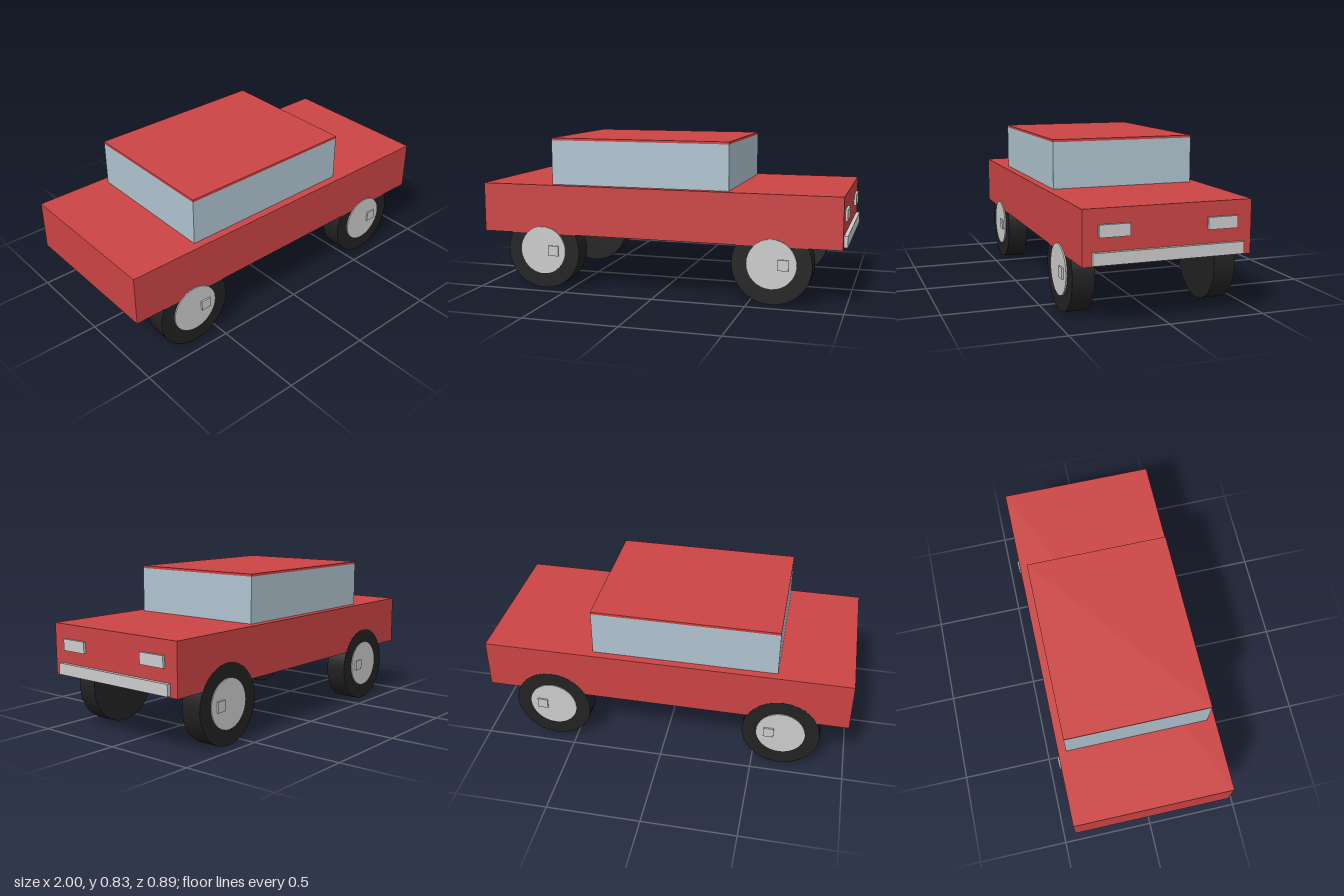
import * as THREE from 'three';

const mat = (name, color) => {
  const m = new THREE.MeshStandardMaterial({ color });
  m.name = name;
  return m;
};

export function createModel() {
  const car = new THREE.Group();
  car.name = 'car';
  const red = mat('red paint', 0xcc4444);
  const glass = mat('pale blue glass', 0xb0c4d0);
  const silver = mat('silver', 0xcccccc);
  const rubber = mat('black rubber', 0x222222);

  // Box given by its lower and upper corners
  const box = (name, material, [x0, y0, z0], [x1, y1, z1], parent = car) => {
    const mesh = new THREE.Mesh(new THREE.BoxGeometry(x1 - x0, y1 - y0, z1 - z0), material);
    mesh.position.set((x0 + x1) / 2, (y0 + y1) / 2, (z0 + z1) / 2);
    mesh.name = name;
    parent.add(mesh);
  };
  // Disc with its axle along z, between depths z0 and z1
  const disc = (name, material, radius, z0, z1, parent) => {
    const geo = new THREE.CylinderGeometry(radius, radius, z1 - z0, 32).rotateX(Math.PI / 2);
    const mesh = new THREE.Mesh(geo, material);
    mesh.position.z = (z0 + z1) / 2;
    mesh.name = name;
    parent.add(mesh);
  };

  // Body, cabin and roof
  box('body', red, [-1, 0.305, -0.43], [0.98, 0.575, 0.43]);
  box('cabinWindows', glass, [-0.605, 0.575, -0.387], [0.387, 0.817, 0.387]);
  box('roof', red, [-0.605, 0.817, -0.387], [0.387, 0.83, 0.387]);

  // Nose fittings
  box('bumper', silver, [0.98, 0.312, -0.385], [1, 0.372, 0.385]);
  box('leftHeadlight', silver, [0.98, 0.44, -0.352], [0.993, 0.5, -0.198]);
  box('rightHeadlight', silver, [0.98, 0.44, 0.198], [0.993, 0.5, 0.352]);

  // Wheels: tyre, hub plate and a small off-centre cap
  for (const [axle, x, capX] of [['rear', -0.647, 0.064], ['front', 0.622, 0.062]]) {
    for (const side of [1, -1]) {
      const wheel = new THREE.Group();
      wheel.name = axle + (side > 0 ? 'RightWheel' : 'LeftWheel');
      wheel.position.set(x, 0.21, 0);
      const span = (inner, outer) => (side > 0 ? [inner, outer] : [-outer, -inner]);
      disc('tyre', rubber, 0.21, ...span(0.316, side > 0 ? 0.429 : 0.431), wheel);
      disc('hub', silver, 0.131, ...span(0.4, 0.436), wheel);
      const [c0, c1] = span(0.43, 0.445);
      box('hubCap', silver, [capX - 0.028, -0.025, c0], [capX + 0.028, 0.031, c1], wheel);
      wheel.children[1].position.y = 0.003;
      car.add(wheel);
    }
  }
  return car;
}
